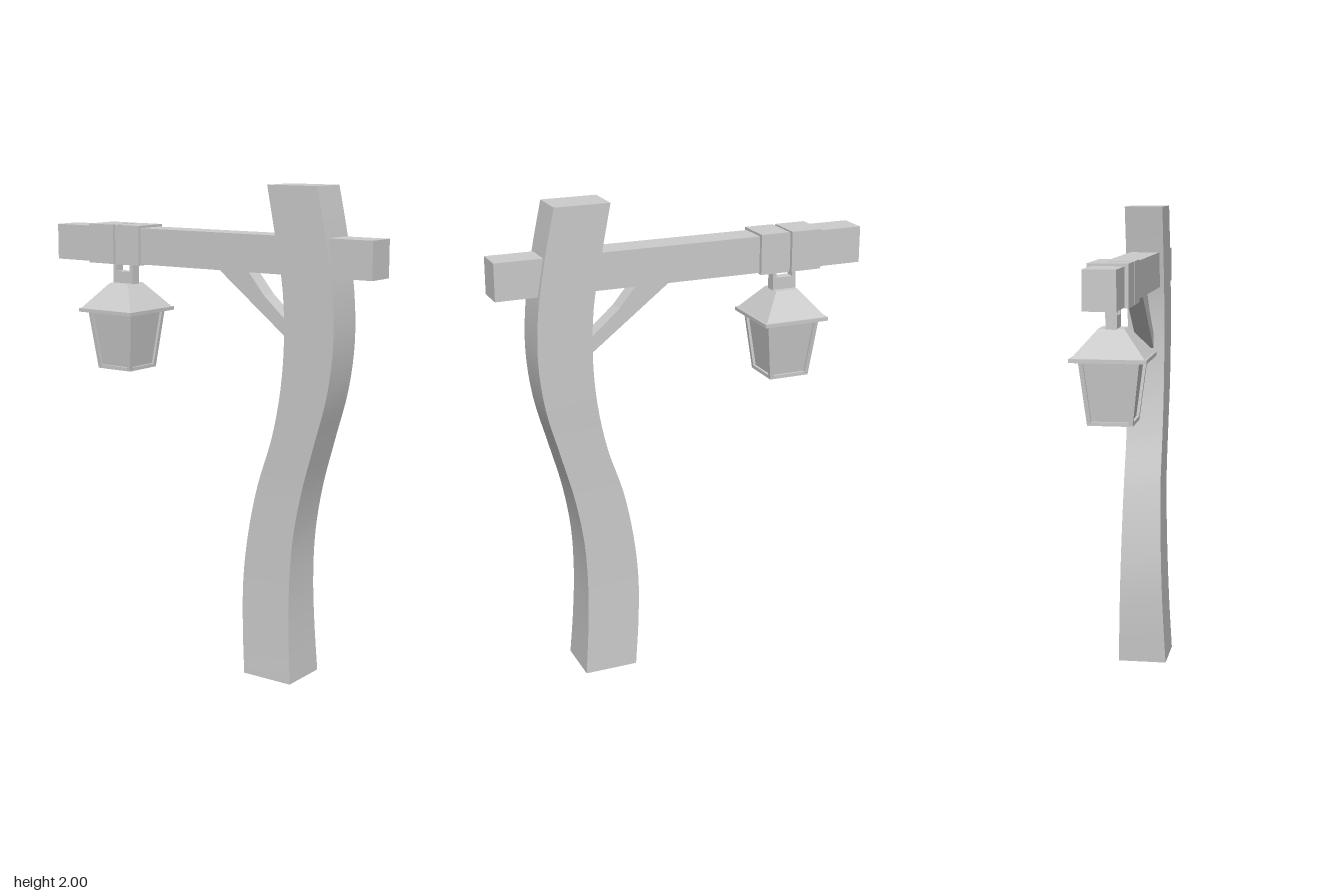
import * as THREE from 'three';

export function createModel() {
  const model = new THREE.Group();
  const grey = new THREE.MeshStandardMaterial({ color: 0xcccccc });
  grey.name = 'plain grey';

  function add(name, geometry, parent = model) {
    const mesh = new THREE.Mesh(geometry, grey);
    mesh.name = name;
    parent.add(mesh);
    return mesh;
  }

  // box given by its limits on each axis
  function box(name, x0, x1, y0, y1, z0, z1, parent) {
    const mesh = add(name, new THREE.BoxGeometry(x1 - x0, y1 - y0, z1 - z0), parent);
    mesh.position.set((x0 + x1) / 2, (y0 + y1) / 2, (z0 + z1) / 2);
    return mesh;
  }

  // four-sided block whose bottom and top differ: [x0, x1, z0, z1]
  function taper(name, y0, y1, bottom, top, parent) {
    const g = new THREE.BoxGeometry(1, 1, 1);
    const p = g.attributes.position;
    for (let i = 0; i < p.count; i++) {
      const r = p.getY(i) > 0 ? top : bottom;
      p.setXYZ(i, p.getX(i) > 0 ? r[1] : r[0], p.getY(i) > 0 ? y1 : y0, p.getZ(i) > 0 ? r[3] : r[2]);
    }
    g.computeVertexNormals();
    return add(name, g, parent);
  }

  // curved post: front and back z at every 0.2 of height, and left/right x
  const front = [0.47, 0.456, 0.45, 0.46, 0.495, 0.55, 0.605, 0.63, 0.622, 0.59, 0.547];
  const back = [0.245, 0.23, 0.226, 0.245, 0.285, 0.35, 0.39, 0.405, 0.396, 0.36, 0.32];
  const left = [0.095, 0.09, 0.085, 0.081, 0.078, 0.077, 0.078, 0.079, 0.079, 0.079, 0.079];
  const right = [-0.115, -0.105, -0.097, -0.09, -0.084, -0.083, -0.083, -0.083, -0.083, -0.083, -0.083];
  const curve = (a, b) => new THREE.CatmullRomCurve3(
    a.map((v, i) => new THREE.Vector3(v, i * 0.2, b[i])), false, 'catmullrom');
  const depth = curve(front, back), width = curve(left, right);
  const post = new THREE.BoxGeometry(1, 2, 1, 1, 40, 1);
  const pos = post.attributes.position;
  for (let i = 0; i < pos.count; i++) {
    const t = THREE.MathUtils.clamp((pos.getY(i) + 1) / 2, 0, 1);
    const d = depth.getPoint(t), w = width.getPoint(t);
    pos.setXYZ(i, pos.getX(i) > 0 ? w.x : w.z, t * 2, pos.getZ(i) > 0 ? d.x : d.z);
  }
  post.computeVertexNormals();
  add('post', post);

  // cross beam with two collars
  box('beam', -0.065, 0.06, 1.655, 1.805, -0.785, 0.785);
  box('frontCollar', -0.08, 0.077, 1.65, 1.815, -0.45, -0.325);
  box('rearCollar', -0.08, 0.077, 1.65, 1.815, -0.595, -0.463);

  // diagonal brace, drawn in z/y and extruded across x
  const outline = [[0.44, 1.36], [0.055, 1.655], [0.055, 1.67], [0.2, 1.67], [0.2, 1.655],
    [0.275, 1.565], [0.44, 1.42]];
  const shape = new THREE.Shape(outline.map(([z, y]) => new THREE.Vector2(-z, y)));
  const brace = new THREE.ExtrudeGeometry(shape, { depth: 0.07, bevelEnabled: false });
  brace.translate(0, 0, -0.035);
  brace.rotateY(Math.PI / 2);
  add('brace', brace);

  // lantern, built around its own axis
  const lantern = new THREE.Group();
  lantern.name = 'lantern';
  lantern.position.z = -0.459;
  model.add(lantern);

  box('hangerBlock', -0.022, 0.022, 1.56, 1.615, -0.052, 0.052, lantern);
  for (const s of [-1, 1]) {
    const strap = box('hangerStrap', -0.022, 0.022, 1.61, 1.66, -0.008, 0.008, lantern);
    strap.position.z = s * 0.044;
  }
  const square = (h, k = h) => [-h, h, -k, k];
  taper('roof', 1.46, 1.565, square(0.14, 0.135), square(0.05), lantern);
  box('eave', -0.147, 0.147, 1.445, 1.46, -0.143, 0.143, lantern);
  taper('panes', 1.205, 1.447, square(0.076), square(0.104), lantern);
  box('base', -0.088, 0.088, 1.2, 1.215, -0.088, 0.088, lantern);

  // slanted corner bars
  const bar = (sx, sz, h, w) => {
    const span = (s) => (s > 0 ? [h - w, h] : [-h, -h + w]);
    return [...span(sx), ...span(sz)];
  };
  for (const sx of [-1, 1]) for (const sz of [-1, 1]) {
    taper('cornerBar', 1.205, 1.447, bar(sx, sz, 0.088, 0.017), bar(sx, sz, 0.116, 0.017), lantern);
  }

  return model;
}
